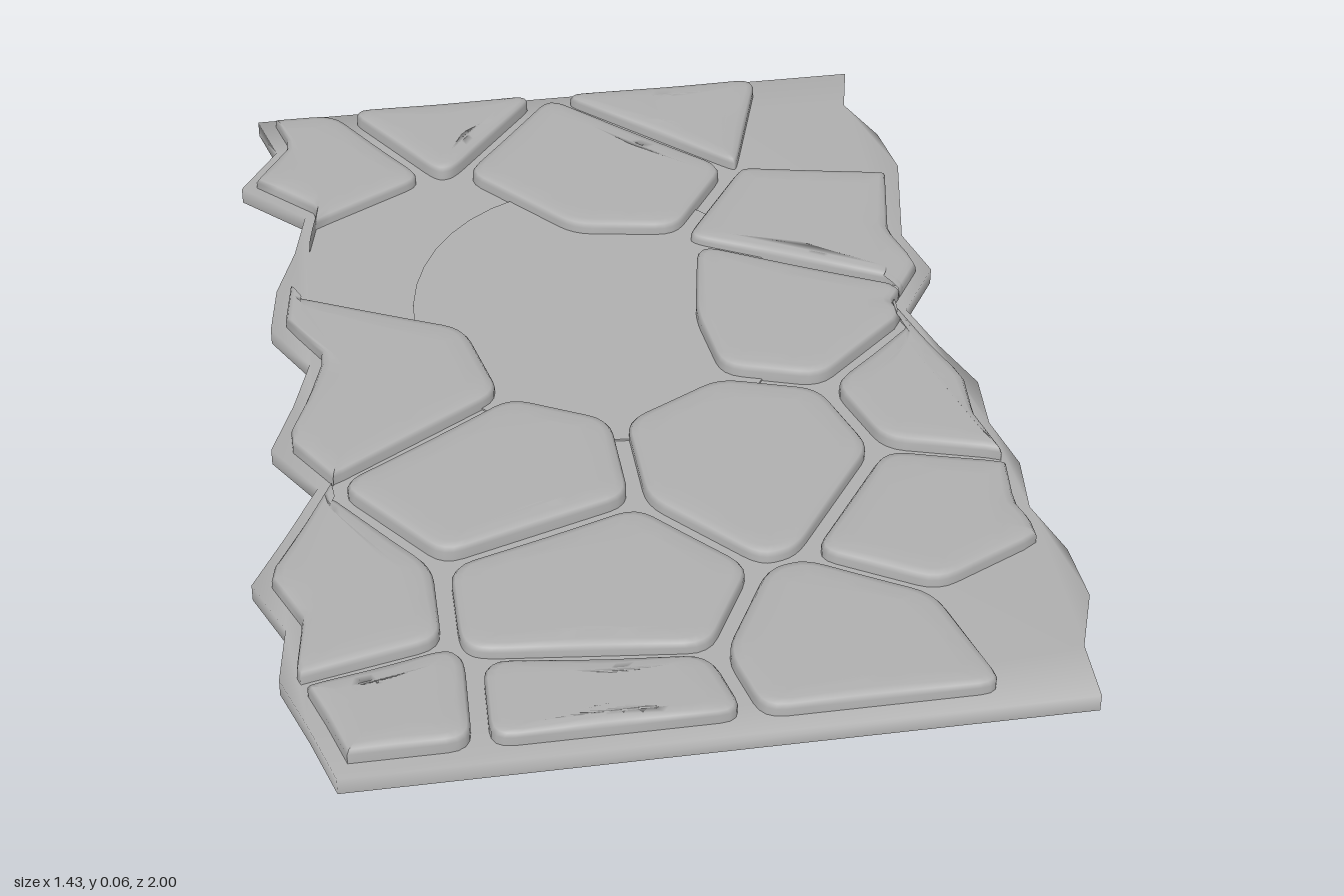
import * as THREE from 'three';

const stoneGrey = new THREE.MeshStandardMaterial({ color: 0xb0b0b0, side: THREE.DoubleSide });
stoneGrey.name = 'stoneGrey';

const V = (x, z) => new THREE.Vector2(x, z);

// Ragged sides of the bed: x at even steps from back to front
const LEFT = [-0.61, -0.58, -0.66, -0.54, -0.57, -0.615, -0.635, -0.57, -0.61, -0.66, -0.585, -0.65, -0.72, -0.67, -0.69, -0.65, -0.615];
const RIGHT = [0.66, 0.63, 0.675, 0.69, 0.665, 0.64, 0.67, 0.59, 0.625, 0.67, 0.66, 0.685, 0.67, 0.705, 0.71, 0.665, 0.66];
const STEP = 0.125;

// One seed per stone; each stone is the area nearest to its seed
const STONES = [
  V(-0.506, -0.86), V(-0.3, -0.985), V(0.07, -0.69), V(0.3, -0.92),
  V(0.49, -0.41), V(0.35, -0.15), V(0.63, 0.17), V(0.52, 0.53),
  V(0.2, 0.3), V(-0.245, 0.3), V(-0.45, -0.03), V(-0.64, 0.59),
  V(-0.147, 0.604), V(-0.56, 0.95), V(-0.19, 0.97), V(0.32, 0.86),
];
// Seeds of the places left without a stone
const GAPS = [V(-0.26, -0.42), V(-0.01, -0.22), V(-0.02, -0.115), V(0.58, -0.83), V(0.64, 0.78)];

// x of a bed side at depth z
function sideAt(side, z) {
  const t = (z + 1) / STEP, k = Math.min(side.length - 2, Math.floor(t));
  return THREE.MathUtils.lerp(side[k], side[k + 1], t - k);
}

// Keep the part of a polygon where n.p <= c
function clip(pts, n, c) {
  const out = [];
  pts.forEach((p, i) => {
    const q = pts[(i + 1) % pts.length];
    const dp = n.dot(p) - c, dq = n.dot(q) - c;
    if (dp <= 0) out.push(p);
    if (dp * dq < 0) out.push(p.clone().lerp(q, dp / (dp - dq)));
  });
  return out;
}

// Cell around a seed, with half a joint taken off each edge
function cell(seed) {
  let pts = [V(-0.69, -0.975), V(0.7, -0.975), V(0.7, 0.967), V(-0.69, 0.967)];
  for (const other of [...STONES, ...GAPS]) {
    if (other === seed) continue;
    const n = other.clone().sub(seed).normalize();
    const middle = seed.clone().lerp(other, 0.5);
    pts = clip(pts, n, n.dot(middle) - 0.015);
  }
  return pts;
}

// Replace each corner by a short curve
function roundCorners(pts, r) {
  return pts.flatMap((p, i) => {
    const a = pts[(i + pts.length - 1) % pts.length], b = pts[(i + 1) % pts.length];
    const p0 = p.clone().lerp(a, Math.min(0.4, r / p.distanceTo(a)));
    const p1 = p.clone().lerp(b, Math.min(0.4, r / p.distanceTo(b)));
    return new THREE.QuadraticBezierCurve(p0, p, p1).getPoints(4);
  });
}

// Split long edges, then hold the outline just inside the ragged sides
function fitToBed(pts) {
  return pts.flatMap((p, i) => {
    const q = pts[(i + 1) % pts.length];
    const n = Math.max(1, Math.ceil(p.distanceTo(q) / 0.04));
    return Array.from({ length: n }, (_, k) => {
      const s = p.clone().lerp(q, k / n);
      const max = Math.min(0.655, sideAt(RIGHT, s.y) - 0.03);
      s.x = THREE.MathUtils.clamp(s.x, sideAt(LEFT, s.y) + 0.03, max);
      return s;
    });
  });
}

// Smooth open-bottomed shell: rings = [height, inset] from low to high, closed by a cap
function shell(name, pts, rings) {
  const n = pts.length, pos = [], index = [];
  const c = pts.reduce((s, p) => s.add(p), V(0, 0)).divideScalar(n);
  for (const [y, inset] of rings) {
    for (const p of pts) {
      const q = p.clone().lerp(c, inset / p.distanceTo(c));
      pos.push(q.x, y, q.y);
    }
  }
  for (let k = 0; k < rings.length - 1; k++) {
    for (let i = 0; i < n; i++) {
      const a = k * n + i, b = k * n + (i + 1) % n;
      index.push(a, a + n, b, a + n, b + n, b);
    }
  }
  const top = (rings.length - 1) * n;
  for (const [a, b, d] of THREE.ShapeUtils.triangulateShape(pts, [])) index.push(top + a, top + d, top + b);
  const geo = new THREE.BufferGeometry();
  geo.setAttribute('position', new THREE.Float32BufferAttribute(pos, 3));
  geo.setIndex(index);
  geo.computeVertexNormals();
  const mesh = new THREE.Mesh(geo, stoneGrey);
  mesh.name = name;
  return mesh;
}

export function createModel() {
  const group = new THREE.Group();
  group.name = 'stonePath';

  // Bed under the stones
  const side = (xs) => xs.map((x, k) => V(x, -1 + k * STEP));
  group.add(shell('bed', [...side(RIGHT), ...side(LEFT).reverse()], [[0, 0], [0.033, 0]]));

  // Flat round patch in the gap between the stones
  const rim = new THREE.Mesh(new THREE.CylinderGeometry(1, 1, 0.02, 40, 1, true), stoneGrey);
  const face = new THREE.Mesh(new THREE.CircleGeometry(1, 40).rotateX(-Math.PI / 2), stoneGrey);
  rim.name = 'patchRim';
  face.name = 'patchTop';
  rim.position.set(0, 0.027, -0.22);
  face.position.set(0, 0.037, -0.22);
  for (const m of [rim, face]) m.scale.set(0.36, 1, 0.42);
  group.add(rim, face);

  // Pillowed stones with slightly different heights
  STONES.forEach((seed, i) => {
    const h = 0.058 + 0.002 * ((i * 3) % 4);
    const pts = fitToBed(roundCorners(cell(seed), 0.04));
    group.add(shell(`pavingStone${i + 1}`, pts,
      [[0.017, 0], [h - 0.012, 0], [h - 0.004, 0.006], [h - 0.001, 0.02], [h, 0.05]]));
  });
  return group;
}
